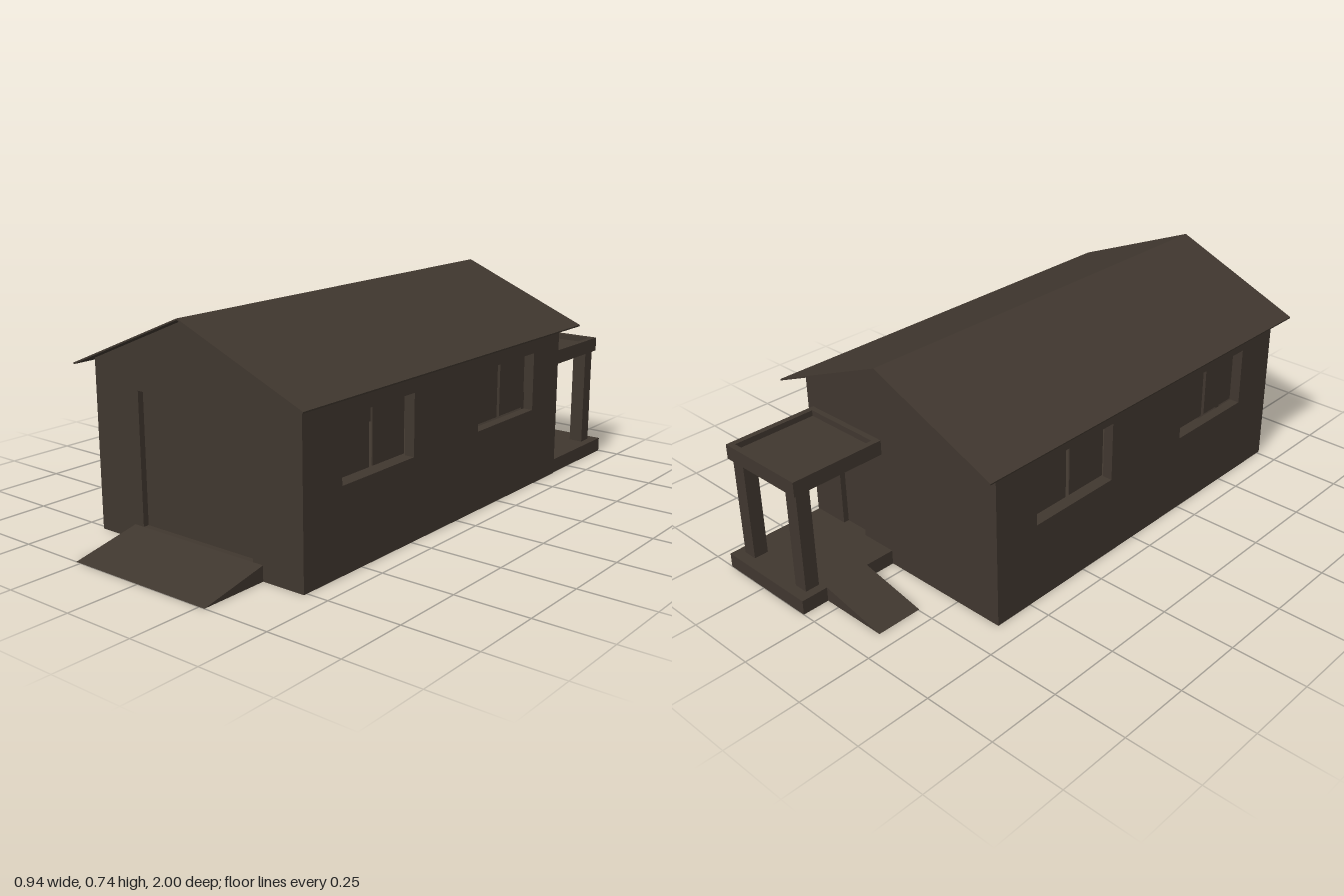
import * as THREE from 'three';

export function createModel() {
  const model = new THREE.Group();
  const brown = new THREE.MeshStandardMaterial({ color: 0x40372f, side: THREE.DoubleSide });
  brown.name = 'dark brown';

  const add = (parent, name, geometry, x = 0, y = 0, z = 0) => {
    const mesh = new THREE.Mesh(geometry, brown);
    mesh.name = name;
    mesh.position.set(x, y, z);
    parent.add(mesh);
    return mesh;
  };
  // Box given by its minimum and maximum corners
  const box = (parent, name, a, b) => add(parent, name,
    new THREE.BoxGeometry(b[0] - a[0], b[1] - a[1], b[2] - a[2]),
    (a[0] + b[0]) / 2, (a[1] + b[1]) / 2, (a[2] + b[2]) / 2);
  const outline = (points) => new THREE.Shape(points.map(([x, y]) => new THREE.Vector2(x, y)));
  const rect = ([x0, y0, x1, y1]) => [[x0, y0], [x1, y0], [x1, y1], [x0, y1]];

  const W = 0.424, FRONT = 0.763, BACK = -0.64, EAVE = 0.567, RIDGE = 0.739, FLOOR = 0.05;
  const midZ = (FRONT + BACK) / 2, halfL = (FRONT - BACK) / 2;

  // Thin wall in its own frame, facing +z, with openings lined by jambs
  function wall(name, points, openings, depth) {
    const group = new THREE.Group();
    group.name = name;
    const shape = outline(points);
    for (const o of openings) {
      shape.holes.push(outline(rect(o)));
      const jambs = new THREE.BoxGeometry(o[2] - o[0], o[3] - o[1], depth);
      jambs.setIndex(Array.from(jambs.index.array.slice(0, 24))); // four sides only
      add(group, 'jambs', jambs, (o[0] + o[2]) / 2, (o[1] + o[3]) / 2, -depth / 2);
    }
    add(group, name + 'Panel', new THREE.ShapeGeometry(shape));
    model.add(group);
    return group;
  }

  // Gable walls with recessed doors
  const gable = [[-W, 0], [W, 0], [W, EAVE], [0, RIDGE], [-W, EAVE]];
  const doors = [
    ['frontWall', 'garageDoor', [-0.232, FLOOR, 0.232, 0.487], FRONT, 0],
    ['backWall', 'backDoor', [-0.29, FLOOR, -0.18, 0.287], BACK, Math.PI],
  ];
  for (const [name, doorName, o, z, turn] of doors) {
    const group = wall(name, gable, [o], 0.02);
    group.position.z = z;
    group.rotation.y = turn;
    add(group, doorName, new THREE.ShapeGeometry(outline(rect(o))), 0, 0, -0.02);
  }

  // Side walls, each with two windows of two panes set loosely in the opening
  const windows = [-0.355, 0.355].map((x) => [x - 0.175, 0.276, x + 0.175, 0.48]);
  for (const side of [1, -1]) {
    const group = wall(side > 0 ? 'leftWall' : 'rightWall',
      rect([-halfL, 0, halfL, EAVE]), windows, 0.035);
    group.position.set(side * W, 0, midZ);
    group.rotation.y = side * Math.PI / 2;
    for (const [x0, y0, x1, y1] of windows) {
      const mid = (x0 + x1) / 2, gap = 0.008;
      for (const [a, b] of [[x0 + gap, mid - gap], [mid + gap, x1 - gap]])
        box(group, 'windowPane', [a, y0 + gap, -0.037], [b, y1 - gap, -0.033]);
    }
  }

  // Raised floor, seen from underneath
  const floor = add(model, 'floor', new THREE.PlaneGeometry(2 * W, 2 * halfL), 0, FLOOR, midZ);
  floor.rotation.x = -Math.PI / 2;

  // Thin pitched roof
  const roof = outline([[-0.47, 0.549], [0, 0.744], [0.47, 0.549], [0.469, 0.544], [0, 0.739], [-0.469, 0.544]]);
  add(model, 'roof', new THREE.ExtrudeGeometry(roof, { depth: 1.517, bevelEnabled: false }), 0, 0, -0.706);

  // Wedge ramps: profile runs down along +x, then is turned into place
  function ramp(name, length, width, x, z, turn) {
    const geometry = new THREE.ExtrudeGeometry(outline([[0, 0], [length, 0], [0, FLOOR]]),
      { depth: width, bevelEnabled: false }).translate(0, 0, -width / 2);
    add(model, name, geometry, x, 0, z).rotation.y = turn;
  }
  ramp('frontRamp', 1 - FRONT, 0.54, 0, FRONT, -Math.PI / 2);
  ramp('porchRamp', 0.24, 0.16, 0.05, -0.826, Math.PI);

  // Back porch: platform, posts and a canopy with a raised rim
  const porch = new THREE.Group();
  porch.name = 'porch';
  model.add(porch);
  box(porch, 'platform', [0.05, 0, -1], [0.42, FLOOR, BACK]);
  for (const x of [0.08, 0.34]) box(porch, 'post', [x, FLOOR, -0.963], [x + 0.05, 0.4, -0.913]);
  box(porch, 'canopySlab', [0.07, 0.4, -0.975], [0.4, 0.43, BACK]);
  const rim = outline(rect([0.07, -BACK, 0.4, 0.975]));
  rim.holes.push(outline(rect([0.09, 0.66, 0.38, 0.955])));
  const rimMesh = add(porch, 'canopyRim',
    new THREE.ExtrudeGeometry(rim, { depth: 0.02, bevelEnabled: false }), 0, 0.43, 0);
  rimMesh.rotation.x = -Math.PI / 2;

  return model;
}
